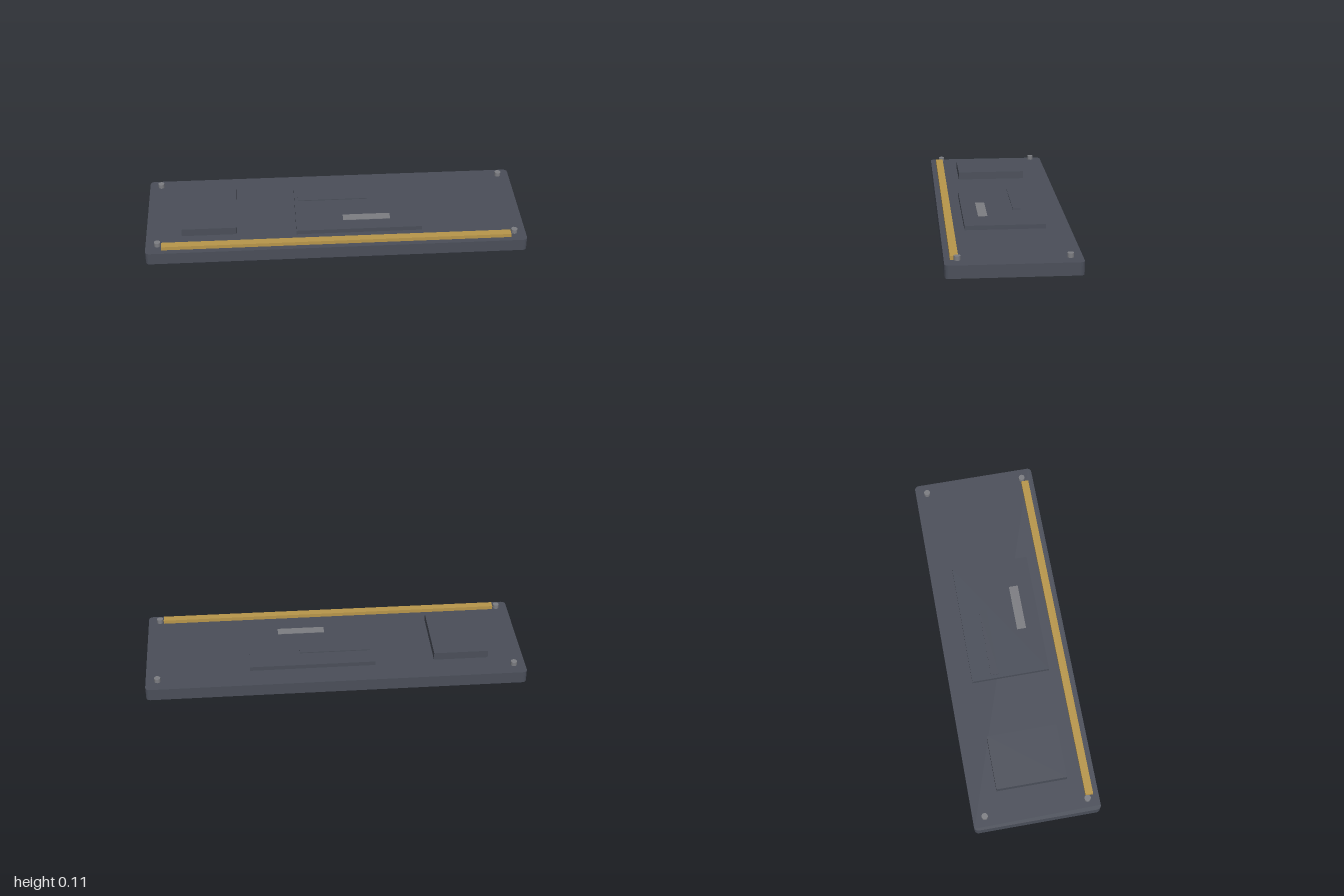
import * as THREE from 'three';

const material = (name, color) => {
  const m = new THREE.MeshStandardMaterial({ color });
  m.name = name;
  return m;
};

export function createModel() {
  const slate = material('slate', 0x4a4e59);
  const gold = material('gold', 0xb8964a);
  const steel = material('steel', 0x7c7d82);
  const model = new THREE.Group();
  model.name = 'circuitModule';

  const add = (name, geometry, mat) => {
    const mesh = new THREE.Mesh(geometry, mat);
    mesh.name = name;
    model.add(mesh);
    return mesh;
  };
  // Box given by its extents on each axis
  const box = (name, [x0, x1], [y0, y1], [z0, z1], mat) =>
    add(name, new THREE.BoxGeometry(x1 - x0, y1 - y0, z1 - z0), mat)
      .position.set((x0 + x1) / 2, (y0 + y1) / 2, (z0 + z1) / 2);

  // Base slab with small rounded corners in plan
  const W = 1, D = 0.333, R = 0.022, H = 0.066;
  const outline = new THREE.Shape();
  outline.absarc(W - R, D - R, R, 0, Math.PI / 2);
  outline.absarc(-W + R, D - R, R, Math.PI / 2, Math.PI);
  outline.absarc(-W + R, -D + R, R, Math.PI, Math.PI * 1.5);
  outline.absarc(W - R, -D + R, R, Math.PI * 1.5, Math.PI * 2);
  const slab = new THREE.ExtrudeGeometry(outline, { depth: H, bevelEnabled: false, curveSegments: 2 });
  slab.rotateX(-Math.PI / 2);
  add('baseSlab', slab, slate);

  // Raised blocks
  box('sideBlock', [-0.813, -0.524], [H, 0.108], [-0.186, 0.186], slate);
  box('centreBlock', [-0.209, 0.455], [H, 0.089], [-0.208, 0.208], slate);

  // Strips on the centre block
  box('rearStrip', [-0.19, 0.185], [0.089, 0.094], [-0.104, -0.0625], slate);
  box('frontStrip', [0.043, 0.294], [0.089, 0.0915], [0.08, 0.129], steel);

  // Contact bar along the front edge
  box('contactBar', [-0.917, 0.917], [H, 0.086], [0.264, 0.304], gold);

  // Corner screws, held just above the slab
  for (const x of [-0.937, 0.937])
    for (const z of [-0.27, 0.27])
      add('cornerScrew', new THREE.CylinderGeometry(0.0165, 0.0165, 0.022, 16), steel)
        .position.set(x, 0.084, z);

  return model;
}
